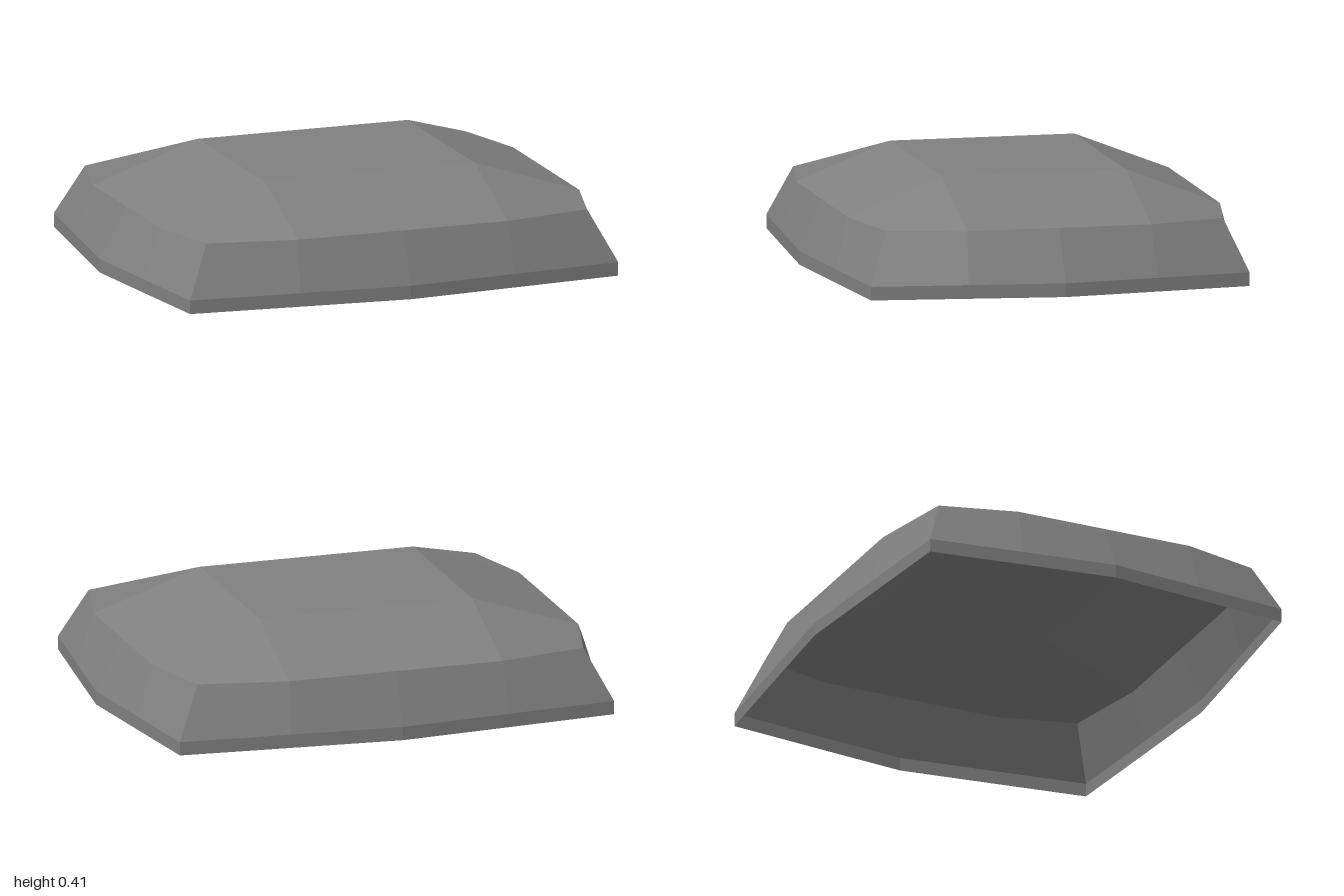
import * as THREE from 'three';

// Builds a faceted mesh from quads, with one flat normal per quad
function quadMesh(name, quads, material) {
  const pos = [], nor = [];
  for (const [a, b, c, d] of quads) {
    const n = c.clone().sub(a).cross(d.clone().sub(b)).normalize();
    for (const p of [a, b, c, a, c, d]) {
      pos.push(p.x, p.y, p.z);
      nor.push(n.x, n.y, n.z);
    }
  }
  const g = new THREE.BufferGeometry();
  g.setAttribute('position', new THREE.Float32BufferAttribute(pos, 3));
  g.setAttribute('normal', new THREE.Float32BufferAttribute(nor, 3));
  const mesh = new THREE.Mesh(g, material);
  mesh.name = name;
  return mesh;
}

// Mirrors one quadrant (from the x axis to the z axis) into a closed ring
function ring(y, quadrant) {
  const out = [];
  [[1, 1], [-1, 1], [-1, -1], [1, -1]].forEach(([sx, sz], k) => {
    const q = k % 2 ? [...quadrant].reverse() : quadrant;
    const pts = q.length > 1 ? q.slice(0, -1) : q;
    for (const [x, z] of pts) out.push(new THREE.Vector3(x * sx, y, z * sz));
  });
  return out;
}

// Quads joining two rings of equal count
const join = (low, high) => low.map((p, i) => {
  const j = (i + 1) % low.length;
  return [p, high[i], high[j], low[j]];
});

export function createModel() {
  const group = new THREE.Group();
  group.name = 'facetedShell';
  const grey = new THREE.MeshStandardMaterial({ color: 0x808080, side: THREE.DoubleSide });
  grey.name = 'stone grey';

  const rim = [[1, 0], [0.953, 0.385], [0.905, 0.77], [0.453, 0.809], [0, 0.847]];
  const shoulder = [[0.888, 0], [0.888, 0.374], [0.805, 0.685], [0.444, 0.757], [0, 0.757]];
  const base = ring(0, rim);
  const lip = ring(0.055, rim);
  const eave = ring(0.26, shoulder);
  const crown = ring(0.41, [[0.444, 0.374]]);

  // Roof: flat crown, four sloping sides and four folded corners
  const roof = [[crown[3], crown[2], crown[1], crown[0]]];
  for (let k = 0; k < 4; k++) {
    const i = 4 * k, n = (k + 1) % 4;
    roof.push([crown[k], eave[i + 3], eave[i + 2], eave[i + 1]]);
    roof.push([eave[i + 3], crown[k], crown[n], eave[(i + 5) % 16]]);
  }

  // Open underneath
  const shell = new THREE.Group();
  shell.name = 'shell';
  shell.add(
    quadMesh('bottomBand', join(base, lip), grey),
    quadMesh('slopedWall', join(lip, eave), grey),
    quadMesh('roof', roof, grey)
  );
  shell.rotation.y = -0.135;
  group.add(shell);
  return group;
}
